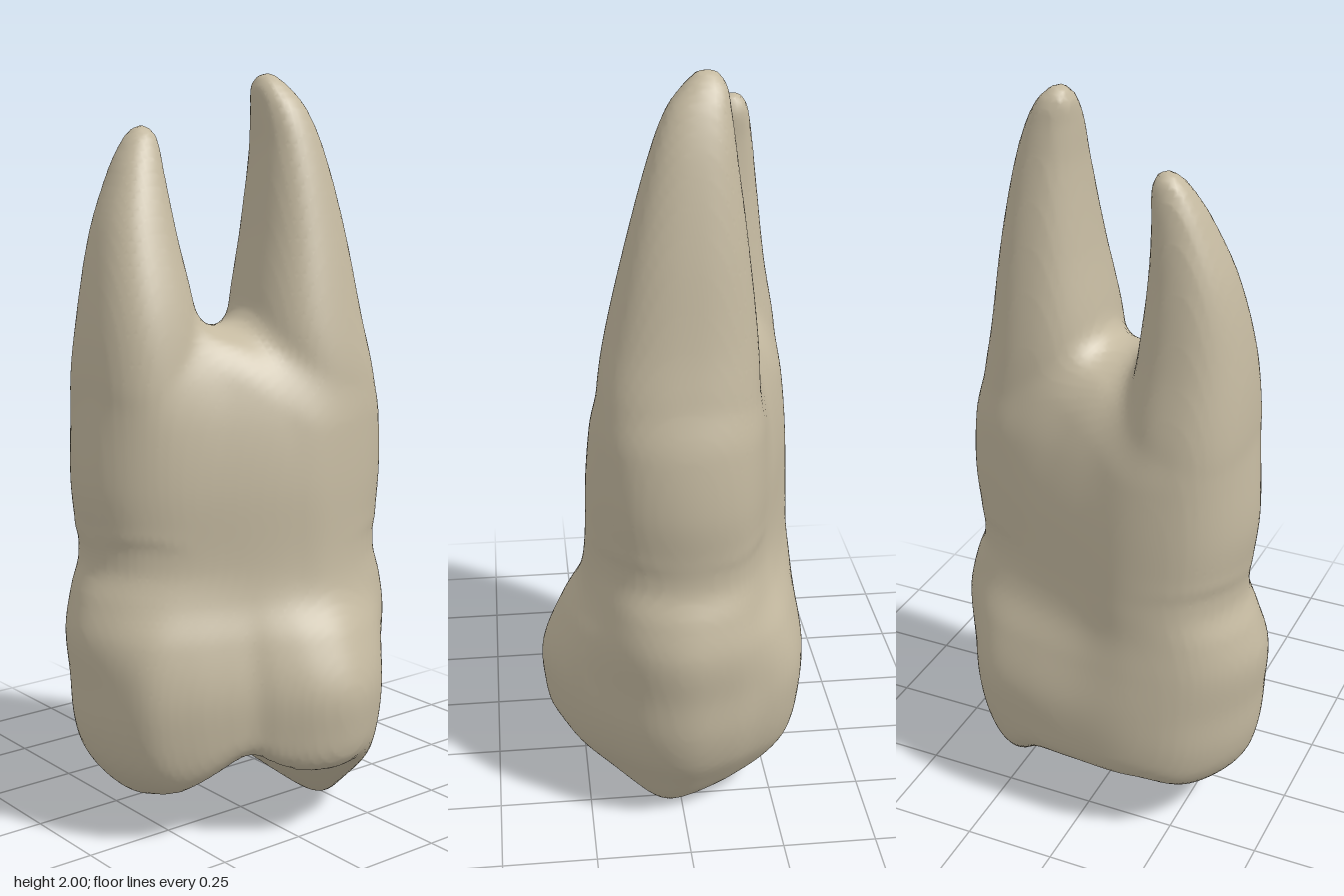
import * as THREE from 'three';

// Outlines seen from above, as [x, z]: crown at its widest, and root trunk
const CROWN = [[0.457, 0], [0.43, 0.095], [0.335, 0.21], [0.235, 0.315], [0.1, 0.365], [0, 0.342], [-0.09, 0.28],
  [-0.14, 0.235], [-0.2, 0.208], [-0.3, 0.162], [-0.39, 0.1], [-0.43, 0.02], [-0.46, -0.12], [-0.42, -0.23],
  [-0.32, -0.325], [-0.18, -0.365], [0, -0.362], [0.15, -0.347], [0.28, -0.31], [0.34, -0.262], [0.385, -0.195], [0.427, -0.12]];
const TRUNK = [[0.415, 0], [0.37, 0.14], [0.25, 0.225], [0.1, 0.245], [0, 0.215], [-0.15, 0.145], [-0.3, 0.06],
  [-0.38, -0.02], [-0.415, -0.12], [-0.38, -0.24], [-0.3, -0.32], [-0.15, -0.345], [0, -0.305], [0.2, -0.235], [0.37, -0.14]];
const ZC = -0.03, BINS = 256;

// Rows: y, share of crown outline, x scale, z scale
const BODY = [[0, 1, 0.7, 0.72], [0.1, 1, 0.78, 0.83], [0.2, 1, 0.89, 0.94], [0.3, 1, 0.95, 0.99], [0.42, 1, 0.97, 1],
  [0.55, 0.6, 1.03, 1], [0.65, 0.15, 1.02, 1], [0.74, 0, 0.96, 1], [0.95, 0, 1, 0.97], [1.1, 0, 0.94, 0.89],
  [1.22, 0, 0.8, 0.76], [1.32, 0, 0.58, 0.6], [1.4, 0, 0.42, 0.45]];
// Rows: y, x min, x max, z back, z front
const TALL_ROOT = [[0.85, 0.05, 0.35, -0.17, 0.17], [1.1, 0.035, 0.388, -0.205, 0.21], [1.22, 0.03, 0.374, -0.202, 0.208],
  [1.36, 0.03, 0.346, -0.195, 0.185], [1.6, 0.07, 0.308, -0.167, 0.13], [1.8, 0.095, 0.265, -0.14, 0.075],
  [1.91, 0.1, 0.227, -0.126, 0.032], [1.97, 0.105, 0.19, -0.115, -0.015], [2, 0.125, 0.155, -0.09, -0.05]];
const SHORT_ROOT = [[0.85, -0.36, -0.09, -0.28, 0.03], [1.1, -0.397, -0.08, -0.315, 0.065], [1.22, -0.403, -0.085, -0.31, 0.065],
  [1.4, -0.387, -0.112, -0.28, 0.035], [1.6, -0.345, -0.14, -0.255, -0.03], [1.75, -0.285, -0.15, -0.235, -0.09],
  [1.82, -0.245, -0.15, -0.222, -0.125], [1.85, -0.22, -0.16, -0.21, -0.145], [1.866, -0.195, -0.175, -0.19, -0.17]];

// Radius of a closed outline for each direction around the centre
function polarTable(points) {
  const curve = new THREE.CatmullRomCurve3(points.map(([x, z]) => new THREE.Vector3(x, 0, z - ZC)), true);
  const table = new Array(BINS).fill(0.3);
  for (let i = 0; i < 8000; i++) {
    const p = curve.getPoint(i / 8000);
    const bin = Math.round((Math.atan2(p.z, p.x) / (2 * Math.PI) + 1) * BINS) % BINS;
    table[bin] = Math.hypot(p.x, p.z);
  }
  return (angle) => {
    const a = (angle / (2 * Math.PI) + 1) * BINS, i = Math.floor(a);
    return THREE.MathUtils.lerp(table[i % BINS], table[(i + 1) % BINS], a - i);
  };
}

// Smooth reading of the rows at height y
function sampleRows(rows, y) {
  const last = rows.length - 1;
  if (y <= rows[0][0]) return rows[0].slice(1);
  if (y >= rows[last][0]) return rows[last].slice(1);
  let i = 0;
  while (rows[i + 1][0] < y) i++;
  const a = rows[i], b = rows[i + 1], h = b[0] - a[0], t = (y - a[0]) / h;
  const slope = (j, k) => {
    const p = rows[Math.max(j - 1, 0)], q = rows[Math.min(j + 1, last)];
    return (q[k] - p[k]) / (q[0] - p[0]);
  };
  return a.slice(1).map((v, n) => {
    const k = n + 1, t2 = t * t, t3 = t2 * t;
    return v * (2 * t3 - 3 * t2 + 1) + b[k] * (3 * t2 - 2 * t3)
      + h * (slope(i, k) * (t3 - 2 * t2 + t) + slope(i + 1, k) * (t3 - t2));
  });
}

function smoothMin(a, b, k) {
  const h = Math.max(k - Math.abs(a - b), 0) / k;
  return Math.min(a, b) - h * h * k / 4;
}
const smoothMax = (a, b, k) => -smoothMin(-a, -b, k);
const soft = (d) => Math.sqrt(d * d + 0.0016) - 0.04;

// Height of the chewing surface: a tall cusp, a low cusp and a groove with raised rims
function biteHeight(x, z) {
  const tall = -0.003 + 0.8 * soft(x - 0.25) + (z > 0.04 ? 0.68 : 0.42) * soft(z - 0.04);
  const low = 0.105 + 0.6 * soft(x + 0.29) + 0.3 * soft(z + 0.06);
  const groove = 0.28 - 0.09 * THREE.MathUtils.smoothstep(Math.abs(z), 0.12, 0.3);
  return smoothMin(smoothMin(tall, low, 0.04), groove, 0.04);
}

// A root with slightly squared oval sections
function rootField(rows, level, x, y, z) {
  const [x0, x1, z0, z1] = level;
  const rx = (x1 - x0) / 2, rz = (z1 - z0) / 2;
  const u = Math.abs(x - (x0 + x1) / 2) / rx, w = Math.abs(z - (z0 + z1) / 2) / rz;
  const q = (u ** 2.4 + w ** 2.4) ** (1 / 2.4);
  return Math.max((q - 1) * Math.min(rx, rz), y - rows[rows.length - 1][0], rows[0][0] - y);
}

// Surface of the field's zero level, one vertex per crossed grid cell
function surfaceOf(fieldAt, min, size, step) {
  const n = size.map((s) => Math.ceil(s / step) + 1);
  const stride = [1, n[0], n[0] * n[1]];
  const values = new Float32Array(n[0] * n[1] * n[2]);
  for (let j = 0; j < n[1]; j++) {
    const field = fieldAt(min[1] + j * step);
    for (let k = 0; k < n[2]; k++) for (let i = 0; i < n[0]; i++) {
      values[i + j * stride[1] + k * stride[2]] = field(min[0] + i * step, min[2] + k * step);
    }
  }
  const cellVertex = new Int32Array(values.length).fill(-1);
  const positions = [], index = [];
  const eachCell = (visit) => {
    for (let k = 1; k < n[2] - 1; k++) for (let j = 1; j < n[1] - 1; j++) for (let i = 1; i < n[0] - 1; i++) {
      visit([i, j, k], i + j * stride[1] + k * stride[2]);
    }
  };
  eachCell((cell, at) => {
    const sum = [0, 0, 0];
    let count = 0;
    for (let c = 0; c < 8; c++) for (let a = 0; a < 3; a++) {
      if (c >> a & 1) continue;
      const corner = [c & 1, c >> 1 & 1, c >> 2 & 1];
      const p = at + corner[0] + corner[1] * stride[1] + corner[2] * stride[2];
      const v0 = values[p], v1 = values[p + stride[a]];
      if ((v0 < 0) === (v1 < 0)) continue;
      corner[a] = v0 / (v0 - v1);
      corner.forEach((v, m) => { sum[m] += v; });
      count++;
    }
    if (!count) return;
    cellVertex[at] = positions.length / 3;
    positions.push(...sum.map((s, m) => min[m] + (cell[m] + s / count) * step));
  });
  eachCell((cell, at) => {
    for (let a = 0; a < 3; a++) {
      const inside = values[at] < 0;
      if (inside === (values[at + stride[a]] < 0)) continue;
      const b = stride[(a + 1) % 3], c = stride[(a + 2) % 3];
      const quad = [at, at - b, at - b - c, at - c].map((q) => cellVertex[q]);
      if (!inside) quad.reverse();
      index.push(quad[0], quad[1], quad[2], quad[0], quad[2], quad[3]);
    }
  });
  const geometry = new THREE.BufferGeometry();
  geometry.setAttribute('position', new THREE.Float32BufferAttribute(positions, 3));
  geometry.setIndex(index);
  geometry.computeVertexNormals();
  return geometry;
}

export function createModel() {
  const crownRadius = polarTable(CROWN), trunkRadius = polarTable(TRUNK);
  const fieldAt = (y) => {
    const [share, sx, sz] = sampleRows(BODY, y);
    const tall = sampleRows(TALL_ROOT, y), short = sampleRows(SHORT_ROOT, y);
    return (x, z) => {
      // Crown and trunk
      const dx = x / sx, dz = (z - ZC) / sz, angle = Math.atan2(dz, dx);
      const radius = THREE.MathUtils.lerp(trunkRadius(angle), crownRadius(angle), share);
      let body = Math.hypot(dx, dz) - radius;
      body = smoothMax(body, (biteHeight(x, z) - y) * 0.75, 0.06);
      // Saddle between the roots
      body = smoothMax(body, y - 1.35 + 3 * (z + 0.05) ** 2, 0.05);
      const roots = Math.min(rootField(TALL_ROOT, tall, x, y, z), rootField(SHORT_ROOT, short, x, y, z));
      return smoothMin(body, roots, 0.07);
    };
  };
  const geometry = surfaceOf(fieldAt, [-0.54, -0.08, -0.45], [1.08, 2.18, 0.9], 0.015);

  // Split into crown and roots at the neck
  const ivory = new THREE.MeshStandardMaterial({ color: 0xc4b9a0 });
  ivory.name = 'ivory';
  const all = geometry.index.array, pos = geometry.attributes.position;
  const parts = { crown: [], roots: [] };
  for (let i = 0; i < all.length; i += 3) {
    parts[pos.getY(all[i]) < 0.72 ? 'crown' : 'roots'].push(all[i], all[i + 1], all[i + 2]);
  }
  const group = new THREE.Group();
  group.name = 'tooth';
  for (const [name, index] of Object.entries(parts)) {
    const part = new THREE.BufferGeometry();
    part.setAttribute('position', pos);
    part.setAttribute('normal', geometry.attributes.normal);
    part.setIndex(index);
    const mesh = new THREE.Mesh(part, ivory);
    mesh.name = name;
    group.add(mesh);
  }
  return group;
}
